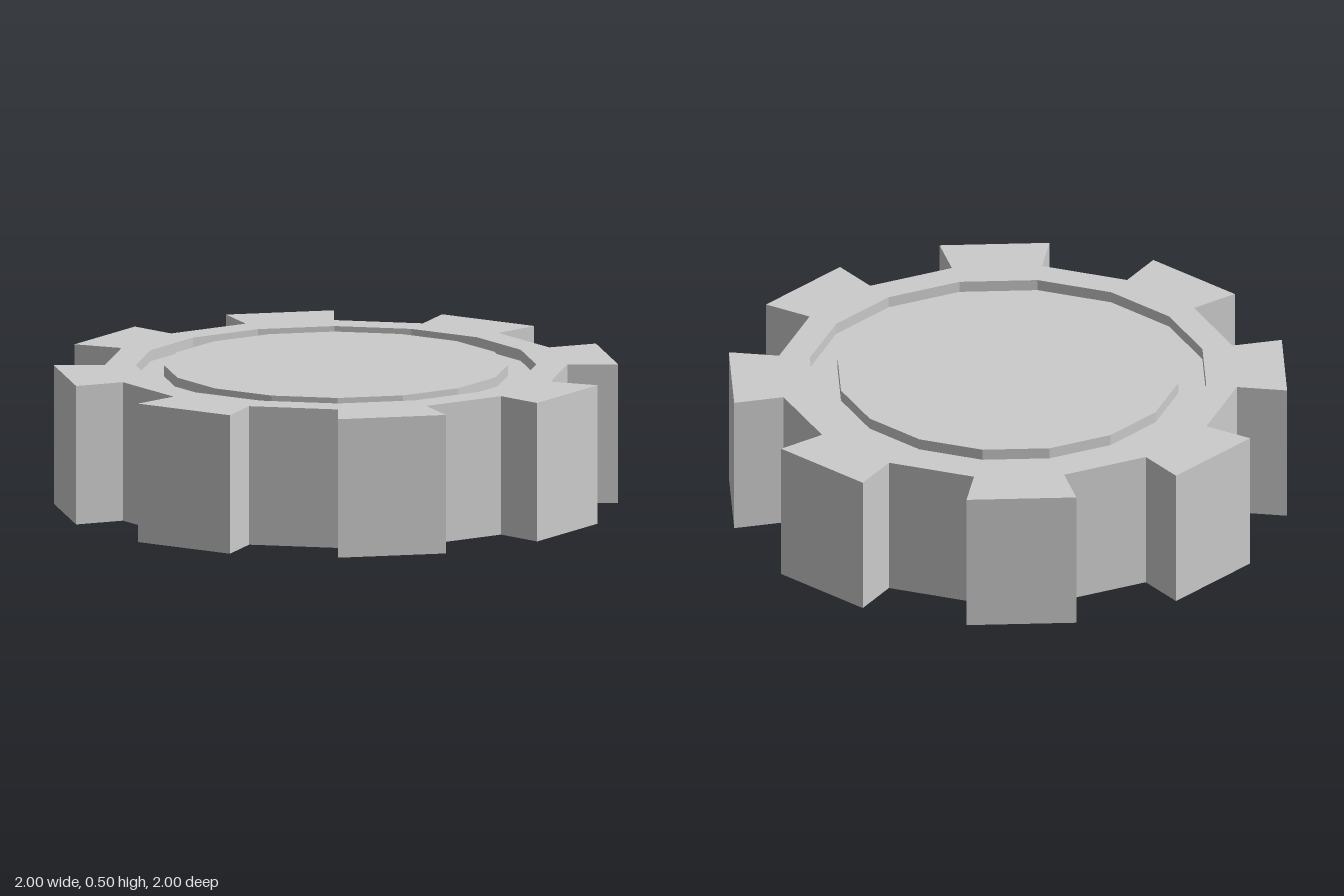
import * as THREE from 'three';

const SIDES = 16, HEIGHT = 0.5, GROOVE = 0.04;
const HUB = 0.61, RIM = 0.71, ROOT = 0.82, TIP = 1;

// One cross-section: two points per corner, so the tooth outline can step straight in and out.
function loop(radius, y) {
  const pts = [];
  for (let i = 0; i < SIDES; i++) {
    const a = (i / SIDES) * Math.PI * 2;
    const pair = radius === 'teeth' ? (i % 2 ? [TIP, ROOT] : [ROOT, TIP]) : [radius, radius];
    for (const r of pair) pts.push(new THREE.Vector3(r * Math.cos(a), y, -r * Math.sin(a)));
  }
  return pts;
}

// Joins successive cross-sections into flat faces, dropping the empty ones.
function skin(name, sections, material) {
  const loops = sections.map(([r, y]) => loop(r, y));
  const positions = [];
  const addTriangle = (a, b, c) => {
    if (new THREE.Triangle(a, b, c).getArea() < 1e-7) return;
    for (const p of [a, b, c]) positions.push(p.x, p.y, p.z);
  };
  for (let k = 0; k < loops.length - 1; k++) {
    const lo = loops[k], hi = loops[k + 1];
    for (let i = 0; i < lo.length; i++) {
      const j = (i + 1) % lo.length;
      addTriangle(lo[i], lo[j], hi[j]);
      addTriangle(lo[i], hi[j], hi[i]);
    }
  }
  const geometry = new THREE.BufferGeometry();
  geometry.setAttribute('position', new THREE.Float32BufferAttribute(positions, 3));
  geometry.computeVertexNormals();
  const mesh = new THREE.Mesh(geometry, material);
  mesh.name = name;
  return mesh;
}

export function createModel() {
  const group = new THREE.Group();
  group.name = 'gear';
  const material = new THREE.MeshStandardMaterial({ color: 0xcccccc, flatShading: true });
  const top = HEIGHT - GROOVE;

  // Lower hub disc and groove floor
  group.add(skin('lowerHub', [[0, 0], [HUB, 0], [HUB, GROOVE], [RIM, GROOVE]], material));

  // Rim with eight teeth, including the outer groove walls
  group.add(skin('toothedRim', [
    [RIM, GROOVE], [RIM, 0], ['teeth', 0], ['teeth', HEIGHT], [RIM, HEIGHT], [RIM, top],
  ], material));

  // Upper groove floor and hub disc
  group.add(skin('upperHub', [[RIM, top], [HUB, top], [HUB, HEIGHT], [0, HEIGHT]], material));

  return group;
}
